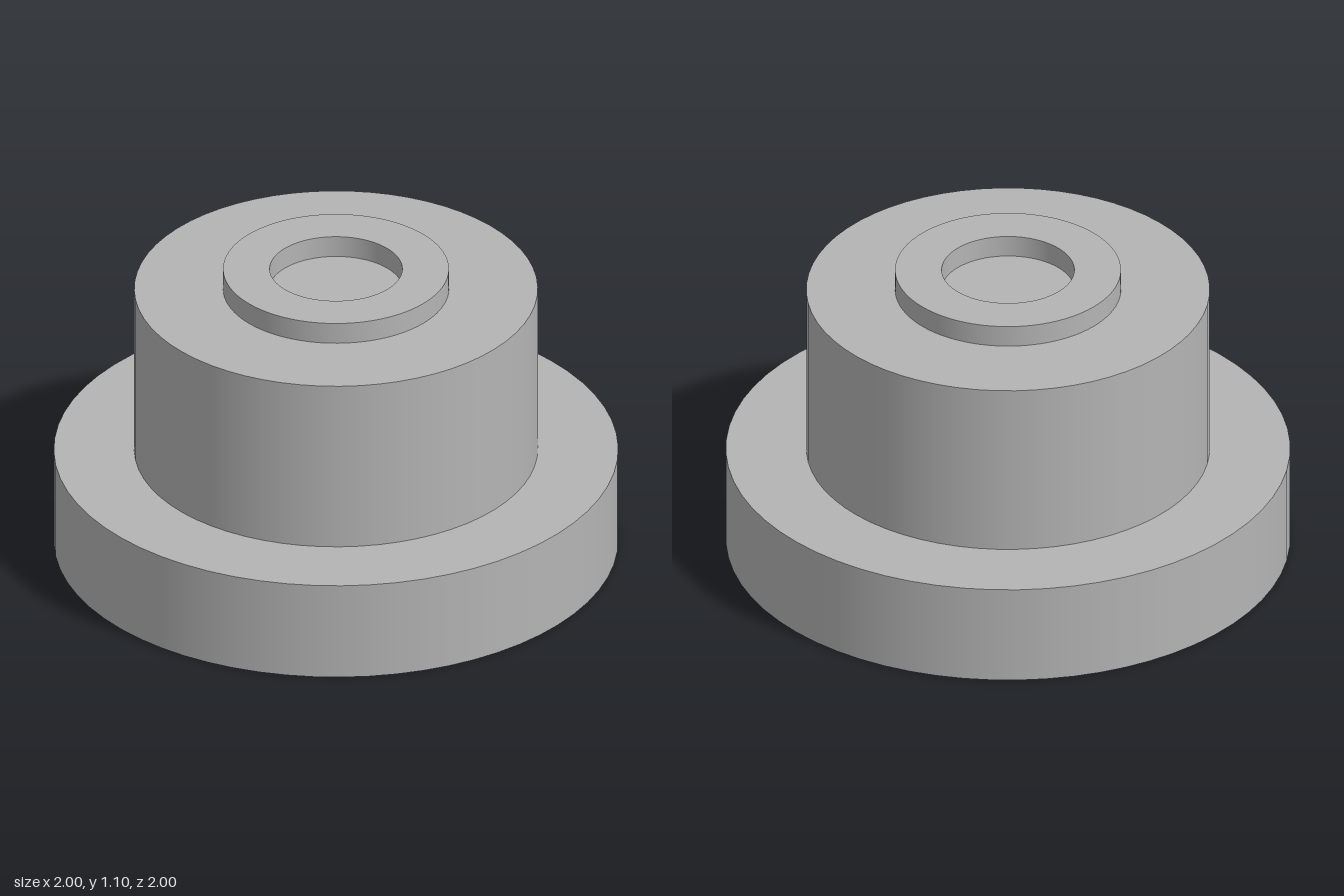
import * as THREE from 'three';
import { toCreasedNormals } from 'three/addons/utils/BufferGeometryUtils.js';

const SEGMENTS = 64;

export function createModel() {
  const group = new THREE.Group();
  const grey = new THREE.MeshStandardMaterial({ color: 0xb4b4b4 });
  grey.name = 'grey';

  const add = (name, geometry, y) => {
    const mesh = new THREE.Mesh(geometry, grey);
    mesh.name = name;
    mesh.position.y = y;
    group.add(mesh);
  };
  const disc = (name, radius, bottom, top) =>
    add(name, new THREE.CylinderGeometry(radius, radius, top - bottom, SEGMENTS), (top + bottom) / 2);

  // Wide base flange and the narrower body on it
  disc('baseFlange', 1, 0, 0.37);
  disc('body', 0.715, 0.37, 1.02);

  // Raised collar; the top of the body is the floor of its bore
  const ring = new THREE.Shape().absarc(0, 0, 0.4, 0, Math.PI * 2);
  ring.holes.push(new THREE.Path().absarc(0, 0, 0.235, 0, Math.PI * 2, true));
  const collar = new THREE.ExtrudeGeometry(ring, { depth: 0.08, bevelEnabled: false, curveSegments: SEGMENTS });
  collar.rotateX(-Math.PI / 2);
  add('collar', toCreasedNormals(collar, Math.PI / 6), 1.02);

  return group;
}
